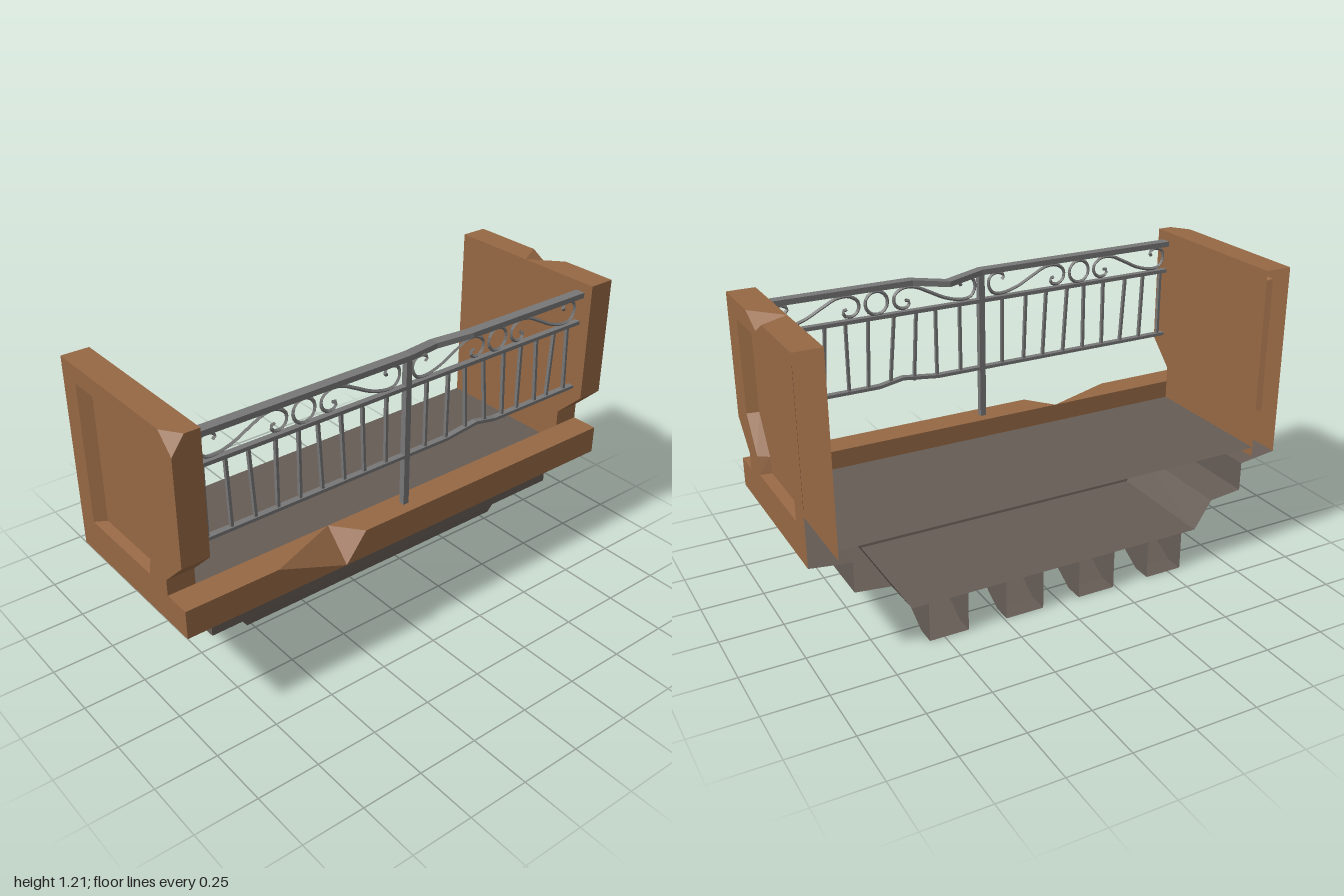
import * as THREE from 'three';

const mat = (color) => new THREE.MeshStandardMaterial({ color, flatShading: true, side: THREE.DoubleSide });
const brown = mat(0x966844), stone = mat(0x665c55), metal = mat(0x777777);
const FRONT = 0.363, BACK = -0.363;

// Collects flat faces into one mesh
class Shell {
  constructor() { this.p = []; }
  tri(a, b, c) { this.p.push(...a, ...b, ...c); }
  quad(a, b, c, d) { this.tri(a, b, c); this.tri(a, c, d); }
  // planar outline with optional hole, mapped from 2D to 3D
  face(outline, map, hole) {
    const toV = (l) => l.map(([x, y]) => new THREE.Vector2(x, y));
    const o = toV(outline), h = hole ? [toV(hole)] : [];
    const all = hole ? [...outline, ...hole] : outline;
    for (const t of THREE.ShapeUtils.triangulateShape(o, h)) this.tri(...t.map((i) => map(...all[i])));
  }
  // strip between two matching lists of points
  strip(a, b, closed = false) {
    const n = a.length;
    for (let i = 0; i < (closed ? n : n - 1); i++) {
      const j = (i + 1) % n;
      this.quad(a[i], a[j], b[j], b[i]);
    }
  }
  mesh(name, material) {
    const g = new THREE.BufferGeometry();
    g.setAttribute('position', new THREE.Float32BufferAttribute(this.p, 3));
    g.computeVertexNormals();
    const m = new THREE.Mesh(g, material);
    m.name = name;
    return m;
  }
}

// Side wall, open at the back, with a sunken panel outside and one broken edge
function sideWall(s) {
  const w = new Shell(), xi = 0.89 * s, xo = s, top = 1.21;
  const at = (x) => (z, y) => [x, y, z];
  const lower = [[BACK, 0.43], [FRONT, 0.43], [FRONT, 0.545], [0.25, 0.545], [0.25, 0.61], [FRONT, 0.72]];
  const chip = s > 0
    ? [[FRONT, top], [0.12, top], [0.02, 1.165], [-0.06, top]]
    : [[FRONT, 1.14], [0.29, top]];
  const panel = [[0.25, 1.14], [-0.27, 1.14], [-0.27, 0.57], [0.135, 0.57], [0.15, 0.64], [0.243, 0.775]];
  const inset = [[0.22, 1.115], [-0.235, 1.115], [-0.235, 0.577], [0.112, 0.577], [0.122, 0.64], [0.213, 0.785]];
  w.face([...lower, ...chip, [BACK, top]], at(xo), panel);
  w.face([[BACK, 0.43], [0.25, 0.43], [0.25, 0.61], [FRONT, 0.72], [FRONT, top], [BACK, top]], at(xi));

  // sunken panel
  const xp = s * 0.96;
  w.strip(panel.map((p) => at(xo)(...p)), inset.map((p) => at(xp)(...p)), true);
  w.face(inset, at(xp));

  // notch above the sill
  const notch = lower.slice(3);
  w.strip(notch.map((p) => at(xi)(...p)), notch.map((p) => at(xo)(...p)));

  // front and top edges with the break
  const onTop = (x, z) => [x, top, z], onFront = (x, y) => [x, y, FRONT];
  if (s > 0) {
    w.face([[xi, 0.72], [xo, 0.72], [xo, top], [xi, top]], onFront);
    w.face([[xi, BACK], [xo, BACK], [xo, -0.06], [xi + 0.001, 0], [xo, 0.12], [xo, FRONT], [xi, FRONT]], onTop);
    const deep = [xo, 1.165, 0.02], tip = [xi + 0.001, top, 0];
    w.tri([xo, top, -0.06], deep, tip);
    w.tri(deep, [xo, top, 0.12], tip);
  } else {
    w.face([[xi, 0.72], [xo, 0.72], [xo, 1.14], [-0.95, top], [xi, top]], onFront);
    w.face([[xi, BACK], [xo, BACK], [xo, 0.29], [-0.95, FRONT], [xi, FRONT]], onTop);
    w.tri([xo, 1.14, FRONT], [-0.95, top, FRONT], [xo, top, 0.29]);
  }
  return w.mesh(s > 0 ? 'leftWall' : 'rightWall', brown);
}

// Front sill with a broken wedge
function sill() {
  const w = new Shell(), y0 = 0.43, y1 = 0.545, zi = 0.25;
  const a = [-0.62, y1, FRONT], b = [-0.32, y0, FRONT], c = [-0.23, y1, FRONT], tip = [-0.32, y1, zi];
  const onFront = (x, y) => [x, y, FRONT], onTop = (x, z) => [x, y1, z];
  w.face([[-1, y0], [-0.32, y0], [-0.62, y1], [-1, y1]], onFront);
  w.face([[-0.32, y0], [1, y0], [1, y1], [-0.23, y1]], onFront);
  w.face([[-1, FRONT], [-0.62, FRONT], [-0.32, zi], [-1, zi]], onTop);
  w.face([[-0.23, FRONT], [1, FRONT], [1, zi], [-0.32, zi]], onTop);
  w.tri(a, b, tip);
  w.tri(b, c, tip);
  w.quad([1, y0, zi], [-1, y0, zi], [-1, y1, zi], [1, y1, zi]);
  return w.mesh('frontSill', brown);
}

// Stepped underside, open at the back
function underside() {
  const w = new Shell();
  const levels = [[0.43, 1, FRONT], [0.41, 0.84, 0.25], [0.29, 0.84, 0.25], [0.275, 0.7, 0.16], [0.16, 0.625, 0.14]];
  const rings = levels.map(([y, x, z]) => [[x, y, BACK], [x, y, z], [-x, y, z], [-x, y, BACK]]);
  for (let i = 0; i + 1 < rings.length; i++) w.strip(rings[i], rings[i + 1]);
  w.quad(...rings[4]);
  return w.mesh('steppedUnderside', stone);
}

// Supporting bracket, open at the back
function bracket(x) {
  const w = new Shell();
  const prof = [[-0.02, 0.16], [-0.02, 0.108], [-0.09, 0.108], [-0.285, 0], [BACK, 0]];
  const side = (dx) => prof.map(([z, y]) => [x + dx, y, z]);
  w.strip(side(-0.08), side(0.08));
  for (const d of [-0.08, 0.08]) w.face([...prof, [BACK, 0.16]], (z, y) => [x + d, y, z]);
  return w.mesh('bracket', stone);
}

// Rectangular bar along points; upright bars spread in x, level ones in y
function bar(name, pts, size, depth, upright = false) {
  const w = new Shell();
  const rings = pts.map(([x, y, z]) => [[1, 1], [-1, 1], [-1, -1], [1, -1]].map(([i, j]) => {
    const d = (i * size) / 2;
    return [x + (upright ? d : 0), y + (upright ? 0 : d), z + (j * depth) / 2];
  }));
  for (let i = 0; i + 1 < rings.length; i++) w.strip(rings[i], rings[i + 1], true);
  w.quad(...rings[0]);
  w.quad(...rings[rings.length - 1]);
  return w.mesh(name, metal);
}

function railing() {
  const g = new THREE.Group(), z = 0.305;
  g.name = 'railing';
  // rails, bent in places
  g.add(bar('topRail', [[-0.89, 1.161, z], [0, 1.161, z], [0.16, 1.146, 0.265], [0.3, 1.161, z], [0.89, 1.161, z]], 0.022, 0.042));
  g.add(bar('middleRail', [[-0.89, 1.041, z], [0.89, 1.041, z]], 0.015, 0.025));
  g.add(bar('bottomRail', [[-0.89, 0.755, z], [0.2, 0.755, z], [0.35, 0.773, z], [0.45, 0.755, z], [0.89, 0.755, z]], 0.013, 0.025));
  g.add(bar('centrePost', [[0, 0.545, z], [0, 1.155, z]], 0.025, 0.025, true));

  // balusters: x at the top, x at the bottom
  const balusters = [
    [-0.863, -0.863], [-0.775, -0.765], [-0.685, -0.668], [-0.575, -0.575], [-0.48, -0.48], [-0.4, -0.383],
    [-0.3, -0.285], [-0.205, -0.195], [-0.095, -0.095], [0.095, 0.095], [0.2, 0.2], [0.282, 0.3],
    [0.375, 0.402], [0.482, 0.495], [0.575, 0.575], [0.658, 0.675], [0.757, 0.742], [0.83, 0.842]];
  for (const [t, b] of balusters) g.add(bar('baluster', [[b, 0.755, z], [t, 1.041, z]], 0.011, 0.014, true));

  // scrolls mirrored about a ring in each bay
  const scroll = [
    [-0.36, 1.115], [-0.35, 1.13], [-0.375, 1.145], [-0.41, 1.135], [-0.42, 1.1], [-0.4, 1.065], [-0.36, 1.058],
    [-0.29, 1.075], [-0.22, 1.11], [-0.16, 1.138], [-0.11, 1.14], [-0.075, 1.115], [-0.075, 1.08],
    [-0.1, 1.06], [-0.13, 1.065], [-0.135, 1.085], [-0.12, 1.09]];
  for (const cx of [-0.455, 0.445]) {
    for (const s of [-1, 1]) {
      const path = new THREE.CatmullRomCurve3(scroll.map(([x, y]) => new THREE.Vector3(cx + s * x, y, z)));
      const m = new THREE.Mesh(new THREE.TubeGeometry(path, 48, 0.007, 4), metal);
      m.name = 'scroll';
      g.add(m);
    }
    const ring = new THREE.Mesh(new THREE.TorusGeometry(0.046, 0.007, 4, 16), metal);
    ring.name = 'ring';
    ring.position.set(cx, 1.098, z);
    g.add(ring);
  }
  return g;
}

export function createModel() {
  const model = new THREE.Group();
  model.name = 'balcony';
  model.add(sideWall(1), sideWall(-1), sill(), underside(), railing());
  for (let i = 0; i < 4; i++) model.add(bracket(-0.48 + i * 0.32));

  // floor
  const f = new Shell(), y = 0.47;
  f.quad([-0.89, y, BACK], [-0.89, y, 0.25], [0.89, y, 0.25], [0.89, y, BACK]);
  model.add(f.mesh('floor', stone));
  return model;
}
